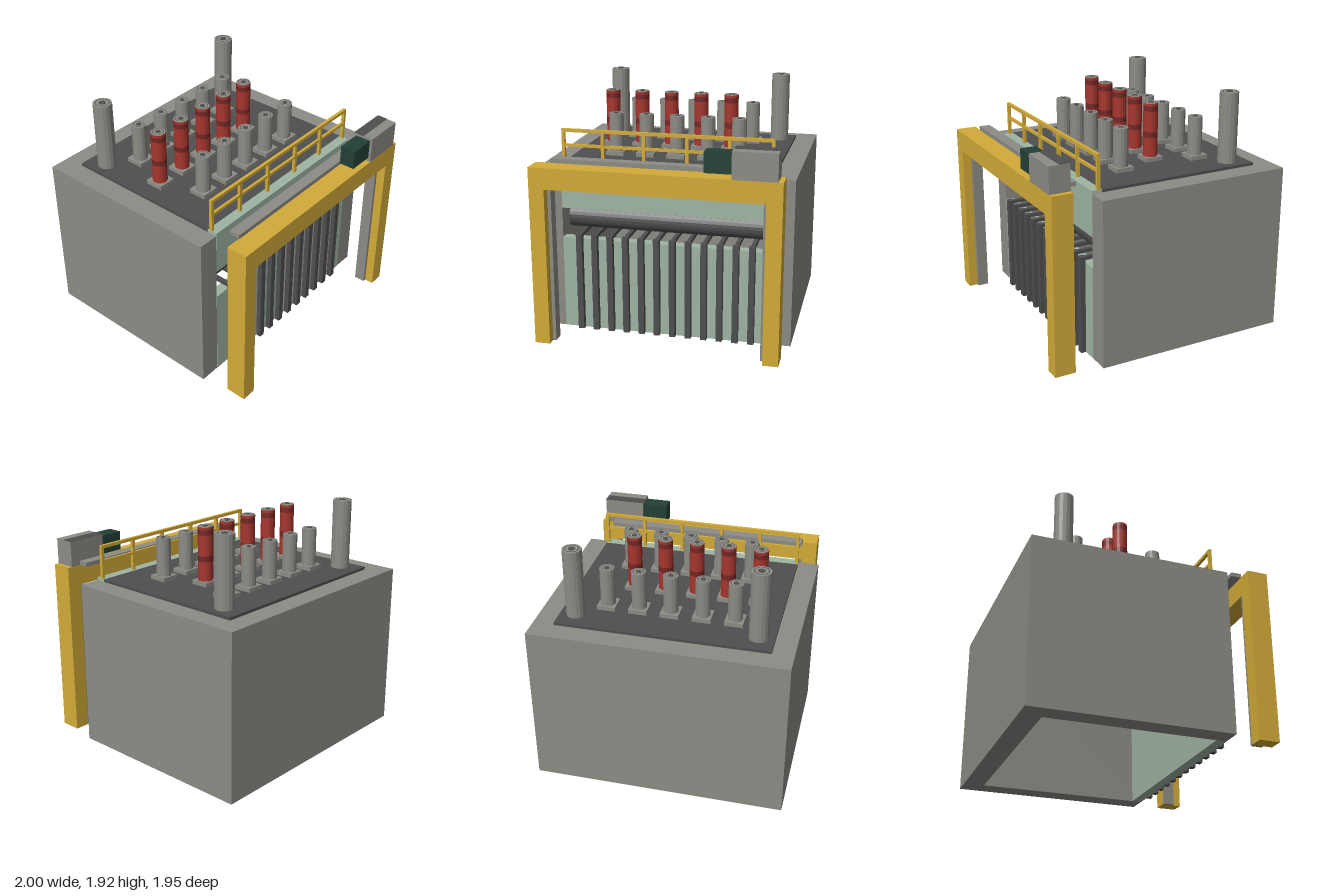
import * as THREE from 'three';

const mat = (name, color, extra = {}) => {
  const m = new THREE.MeshStandardMaterial({ color, ...extra });
  m.name = name;
  return m;
};

export function createModel() {
  const grey = mat('steel grey', 0x8d8b85, { flatShading: true });
  const dark = mat('dark iron', 0x4f4f4f, { flatShading: true });
  const yellow = mat('safety yellow', 0xd2ab38);
  const green = mat('pale green', 0x9fb5a3);
  const red = mat('electrode red', 0xa6352d, { flatShading: true });
  const darkRed = mat('band red', 0x742724, { flatShading: true });
  const darkGreen = mat('motor green', 0x224035);

  const root = new THREE.Group();
  root.name = 'industrialFurnace';

  // Box given by its limits on each axis
  const box = (name, m, [x0, x1], [y0, y1], [z0, z1], parent = root) => {
    const mesh = new THREE.Mesh(new THREE.BoxGeometry(x1 - x0, y1 - y0, z1 - z0), m);
    mesh.position.set((x0 + x1) / 2, (y0 + y1) / 2, (z0 + z1) / 2);
    mesh.name = name;
    parent.add(mesh);
  };
  // Upright cylinder between two heights
  const post = (name, m, r, y0, y1, parent) => {
    const mesh = new THREE.Mesh(new THREE.CylinderGeometry(r, r, y1 - y0, 16), m);
    mesh.position.y = (y0 + y1) / 2;
    mesh.name = name;
    parent.add(mesh);
  };
  const polygon = (pts) => new THREE.Shape(pts.map(([x, y]) => new THREE.Vector2(x, y)));

  // Three-sided shell, open at the front and below
  const wallShape = polygon([
    [-1, -0.6], [-0.833, -0.6], [-0.833, 0.81], [0.833, 0.81],
    [0.833, -0.6], [1, -0.6], [1, 0.977], [-1, 0.977],
  ]);
  const shell = new THREE.Mesh(
    new THREE.ExtrudeGeometry(wallShape, { depth: 1.335, bevelEnabled: false }), grey);
  shell.rotation.x = -Math.PI / 2;
  shell.name = 'furnaceShell';
  root.add(shell);
  box('roofPlate', dark, [-0.833, 0.833], [1.333, 1.357], [-0.81, 0.52]);

  // Front panels with a slot between them
  box('lowerFrontPanel', green, [-0.833, 0.833], [0, 0.755], [0.52, 0.602]);
  box('upperFrontPanel', green, [-0.833, 0.833], [1, 1.357], [0.52, 0.602]);

  // Roller behind the slot
  const roller = new THREE.Mesh(
    new THREE.CylinderGeometry(0.093, 0.093, 1.62, 24), dark);
  roller.rotation.z = Math.PI / 2;
  roller.position.set(0, 0.895, 0.42);
  roller.name = 'roller';
  root.add(roller);

  // Front bars, each with an arm reaching in through the slot
  for (let i = 0; i < 12; i++) {
    const x = -0.69 + i * 0.1255;
    box('frontBar', dark, [x - 0.024, x + 0.024], [0, 0.8], [0.6, 0.643]);
    box('barArm', dark, [x - 0.016, x + 0.016], [0.77, 0.798], [0.05, 0.6]);
  }

  // Portal frame
  const portalShape = polygon([
    [-0.955, 0], [-0.835, 0], [-0.835, 1.252], [0.835, 1.252],
    [0.835, 0], [0.955, 0], [0.955, 1.418], [-0.955, 1.418],
  ]);
  const portal = new THREE.Mesh(
    new THREE.ExtrudeGeometry(portalShape, { depth: 0.167, bevelEnabled: false }), yellow);
  portal.position.z = 0.81;
  portal.name = 'portalFrame';
  root.add(portal);
  box('leftGuideRail', grey, [0.808, 0.835], [0, 1.252], [0.815, 0.905]);
  box('rightGuideRail', grey, [-0.835, -0.808], [0, 1.252], [0.815, 0.905]);
  box('walkway', grey, [-0.833, 0.833], [1.418, 1.452], [0.727, 0.815]);

  // Drive unit on the portal
  box('driveHousing', grey, [0.583, 0.917], [1.418, 1.626], [0.81, 0.977]);
  box('driveTopPlate', dark, [0.583, 0.917], [1.625, 1.629], [0.81, 0.895]);
  box('driveMotor', darkGreen, [0.375, 0.583], [1.45, 1.605], [0.83, 0.955]);

  // Railing along the roof edge
  const railing = new THREE.Group();
  railing.name = 'railing';
  root.add(railing);
  box('topRail', yellow, [-0.833, 0.833], [1.603, 1.628], [0.535, 0.56], railing);
  box('middleRail', yellow, [-0.833, 0.833], [1.486, 1.508], [0.537, 0.558], railing);
  for (let i = 0; i < 6; i++) {
    const x = -0.833 + 0.0125 + i * 0.3283 - (i === 1 || i === 2 ? 0.012 : 0);
    box('railPost', yellow, [x - 0.0125, x + 0.0125], [1.357, 1.61], [0.535, 0.56], railing);
  }

  // Roof cylinders, with a ring groove and a dark centre on top
  const topDetail = (r, y, parent) => {
    post('topCentre', dark, r * 0.36, y, y + 0.003, parent);
    const ring = new THREE.Mesh(new THREE.RingGeometry(r * 0.68, r * 0.77, 16), dark);
    ring.rotation.x = -Math.PI / 2;
    ring.position.y = y + 0.002;
    ring.name = 'topRing';
    parent.add(ring);
  };
  const unit = (name, x, z) => {
    const g = new THREE.Group();
    g.name = name;
    g.position.set(x, 0, z);
    root.add(g);
    return g;
  };

  // Electrode body in stacked red and dark red lengths
  const bands = [
    [red, 1.39, 1.545], [darkRed, 1.545, 1.59], [red, 1.59, 1.755],
    [darkRed, 1.755, 1.795], [red, 1.795, 1.817],
  ];
  for (let i = 0; i < 5; i++) {
    // Grey burners in the front and back rows
    for (const z of [-0.48, 0.185]) {
      const g = unit('burner', -0.5 + i * 0.25, z);
      box('burnerBase', grey, [-0.073, 0.073], [1.357, 1.39], [-0.073, 0.073], g);
      post('burnerBody', grey, 0.058, 1.39, 1.695, g);
      topDetail(0.058, 1.695, g);
    }
    // Red electrodes in the middle row
    const e = unit('electrode', -0.625 + i * 0.25, -0.147);
    box('electrodeBase', grey, [-0.073, 0.073], [1.357, 1.39], [-0.073, 0.073], e);
    for (const [m, y0, y1] of bands) post('electrodeBand', m, 0.058, y0, y1, e);
    post('electrodeCap', grey, 0.057, 1.817, 1.82, e);
    topDetail(0.058, 1.82, e);
  }

  // Tall stacks at the back corners
  for (const x of [-0.708, 0.708]) {
    const s = unit('stack', x, -0.647);
    post('stackBody', grey, 0.075, 1.35, 1.918, s);
    topDetail(0.075, 1.918, s);
  }
  return root;
}
